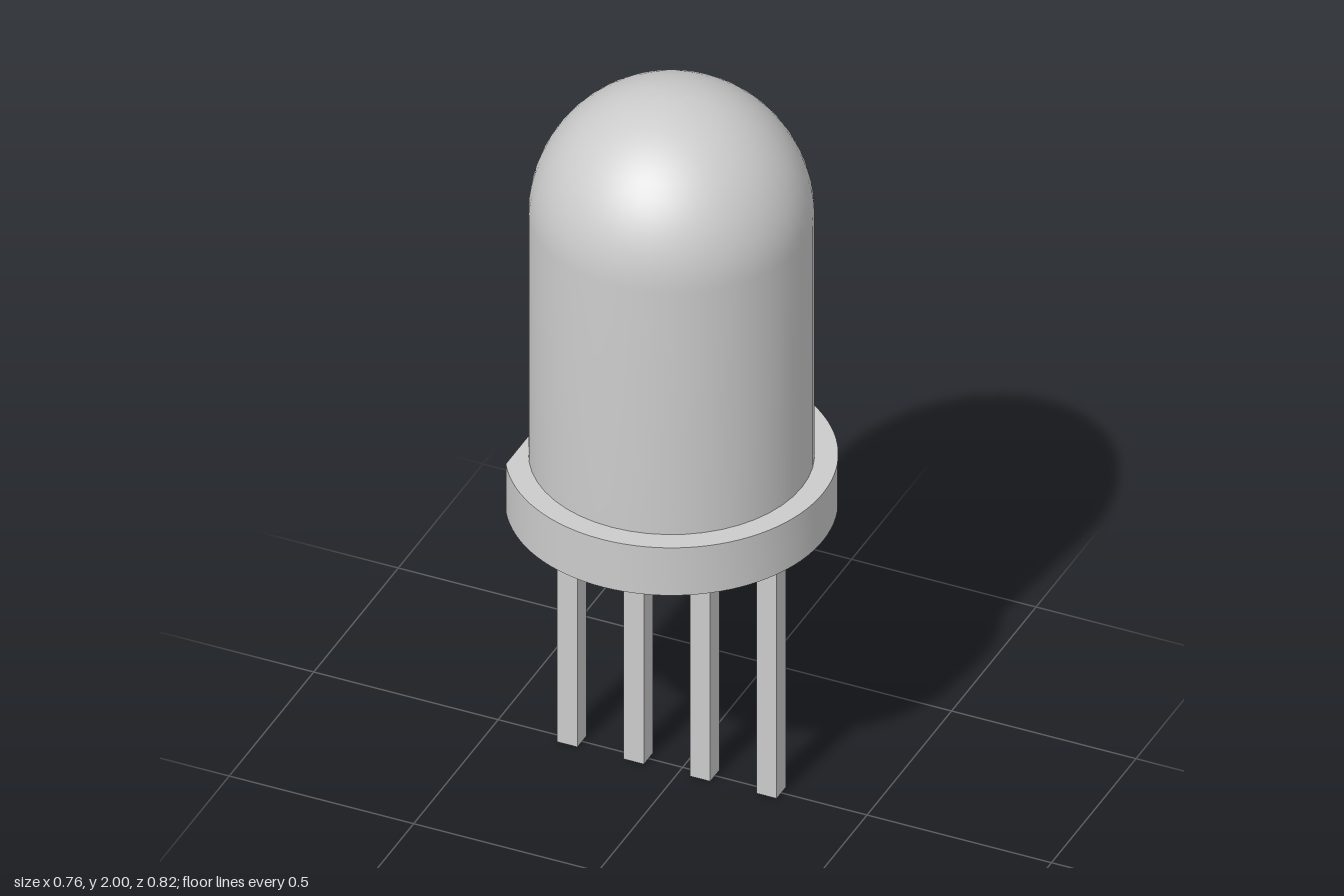
import * as THREE from 'three';
import { toCreasedNormals } from 'three/addons/utils/BufferGeometryUtils.js';

const AXIS_X = -0.03; // the round body sits off centre because of the rim's flat
const RIM_BOTTOM = 0.785, RIM_TOP = 0.927, RIM_RADIUS = 0.411;
const LENS_RADIUS = 0.353, LENS_TOP = 2;
const PIN_WIDTH = 0.055, PIN_SPACING = 0.18;

export function createModel() {
  const group = new THREE.Group();
  const material = new THREE.MeshStandardMaterial({ color: 0xcccccc });

  const add = (name, geometry, x, y) => {
    const mesh = new THREE.Mesh(geometry, material);
    mesh.name = name;
    mesh.position.set(x, y, 0);
    group.add(mesh);
  };

  // Lens: straight barrel running into a hemispherical dome
  const profile = [new THREE.Vector2(LENS_RADIUS, RIM_TOP)];
  const steps = 16;
  for (let i = 0; i <= steps; i++) {
    const a = (i / steps) * Math.PI / 2;
    profile.push(new THREE.Vector2(
      i === steps ? 0 : LENS_RADIUS * Math.cos(a),
      LENS_TOP - LENS_RADIUS + LENS_RADIUS * Math.sin(a)
    ));
  }
  add('lens', toCreasedNormals(new THREE.LatheGeometry(profile, 48), 0.6), AXIS_X, 0);

  // Rim: disc with a flat cut on the -x side, level with the barrel
  const cut = Math.PI - Math.acos(LENS_RADIUS / RIM_RADIUS);
  const outline = new THREE.Shape();
  outline.absarc(0, 0, RIM_RADIUS, -cut, cut, false);
  outline.closePath();
  const rim = new THREE.ExtrudeGeometry(outline, {
    depth: RIM_TOP - RIM_BOTTOM, bevelEnabled: false, curveSegments: 40
  });
  rim.rotateX(-Math.PI / 2);
  add('rim', toCreasedNormals(rim, 0.4), AXIS_X, RIM_BOTTOM);

  // Four square pins in a row
  for (let i = 0; i < 4; i++) {
    add('pin' + (i + 1), new THREE.BoxGeometry(PIN_WIDTH, RIM_BOTTOM, PIN_WIDTH),
      AXIS_X + (i - 1.5) * PIN_SPACING, RIM_BOTTOM / 2);
  }

  return group;
}
